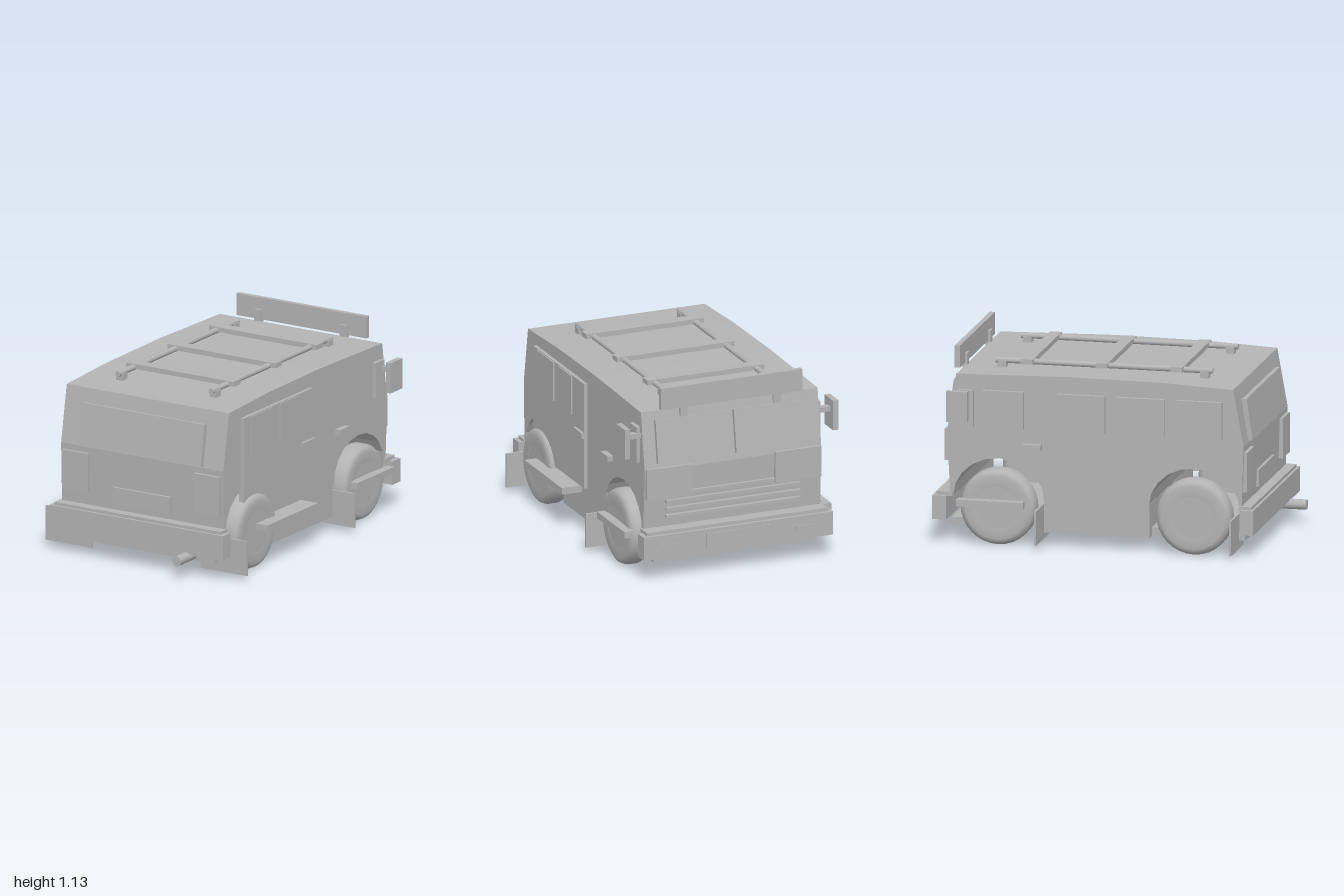
import * as THREE from 'three';

export function createModel() {
  const van = new THREE.Group();
  van.name = 'van';
  const grey = new THREE.MeshStandardMaterial({ color: 0xb4b4b4 });
  grey.name = 'plain grey';

  const add = (name, geometry) => {
    const mesh = new THREE.Mesh(geometry, grey);
    mesh.name = name;
    van.add(mesh);
    return mesh;
  };
  // box given by its limits on each axis
  const box = (name, x0, x1, y0, y1, z0, z1, tilt = 0) => {
    const mesh = add(name, new THREE.BoxGeometry(Math.abs(x1 - x0), y1 - y0, Math.abs(z1 - z0)));
    mesh.position.set((x0 + x1) / 2, (y0 + y1) / 2, (z0 + z1) / 2);
    mesh.rotation.x = tilt;
    return mesh;
  };
  const bothSides = (name, x0, x1, ...rest) => {
    for (const s of [1, -1]) box(name, s * x0, s * x1, ...rest);
  };

  // body: side profile (z, y) with wheel arches cut through the width
  const profile = new THREE.Shape();
  profile.moveTo(0.825, 0.28);
  profile.lineTo(0.835, 0.65);
  profile.lineTo(0.775, 0.985);
  profile.lineTo(0.35, 1.005);
  profile.lineTo(-0.2, 1.01);
  profile.lineTo(-0.86, 0.995);
  profile.lineTo(-0.915, 0.65);
  profile.lineTo(-0.895, 0.28);
  const arch = (cz) => {
    for (let i = 0; i <= 10; i++) {
      const a = Math.PI * (1 - i / 10);
      profile.lineTo(cz + 0.268 * Math.cos(a), 0.275 + 0.235 * Math.sin(a));
    }
  };
  arch(-0.61);
  arch(0.545);
  const bodyGeometry = new THREE.ExtrudeGeometry(profile, { depth: 1.106, bevelEnabled: false });
  bodyGeometry.translate(0, 0, -0.553);
  bodyGeometry.rotateY(-Math.PI / 2);
  add('body', bodyGeometry);

  // underbody
  box('floor', -0.49, 0.49, 0.085, 0.135, -0.9, 0.83);
  box('sill', -0.545, 0.545, 0.085, 0.28, -0.345, 0.28);

  // wheels with rounded shoulders and flat hubs
  const tyre = [[0.125, -0.065], [0.185, -0.07], [0.212, -0.055], [0.223, -0.03],
    [0.223, 0.03], [0.212, 0.055], [0.185, 0.07], [0.125, 0.065]]
    .map(([r, y]) => new THREE.Vector2(r, y));
  for (const s of [1, -1]) {
    for (const z of [0.545, -0.61]) {
      const tire = add('tire', new THREE.LatheGeometry(tyre, 32));
      const hub = add('hub', new THREE.CylinderGeometry(0.126, 0.126, 0.126, 32));
      for (const part of [tire, hub]) {
        part.rotation.z = Math.PI / 2;
        part.position.set(s * 0.532, 0.228, z);
      }
    }
  }

  // mud flaps and steps
  for (const z of [0.787, -0.363]) {
    bothSides('mudFlap', 0.37, 0.685, 0.035, 0.24, z - 0.006, z + 0.006);
  }
  box('doorStep', 0.545, 0.672, 0.235, 0.275, 0.01, 0.55);
  bothSides('wheelStep', 0.59, 0.648, 0.235, 0.275, -0.84, -0.445);

  // bumpers
  box('frontBumper', -0.592, 0.592, 0.14, 0.285, 0.82, 0.9);
  box('frontBumperTop', -0.565, 0.565, 0.28, 0.303, 0.81, 0.885);
  box('backBumper', -0.592, 0.592, 0.14, 0.28, -0.995, -0.91);
  box('backBumperTop', -0.565, 0.565, 0.275, 0.3, -0.975, -0.88);
  box('backPlate', -0.2, 0.2, 0.165, 0.255, -1, -0.993);
  bothSides('bumperLamp', 0.36, 0.48, 0.2, 0.225, -1, -0.993);

  // exhaust pipe
  const pipe = add('exhaust', new THREE.CylinderGeometry(0.03, 0.03, 0.2, 16));
  pipe.rotation.x = Math.PI / 2;
  pipe.position.set(0.34, 0.12, 0.9);

  // front face
  box('frontWindow', -0.42, 0.415, 0.66, 0.905, 0.81, 0.84, -0.14);
  bothSides('frontLamp', 0.36, 0.535, 0.38, 0.615, 0.8, 0.853);
  box('frontPlate', -0.2, 0.195, 0.34, 0.44, 0.8, 0.845);

  // back face: split window, lamps and grille bars
  bothSides('backWindow', 0.015, 0.475, 0.69, 0.945, -0.912, -0.882, 0.157);
  bothSides('backLamp', 0.26, 0.545, 0.48, 0.665, -0.932, -0.89);
  for (let i = 0; i < 4; i++) {
    const y = 0.355 + i * 0.045;
    box('grilleBar', -0.42, 0.42, y, y + 0.016, -0.925, -0.89);
  }

  // sliding door with windows
  box('slidingDoor', 0.54, 0.574, 0.29, 0.925, -0.088, 0.65);
  box('doorWindow', 0.56, 0.581, 0.685, 0.92, 0.345, 0.58);
  box('doorWindow', 0.56, 0.581, 0.685, 0.92, 0.085, 0.27);
  box('doorHandle', 0.56, 0.59, 0.593, 0.628, -0.088, 0.035);
  bothSides('sideHandle', 0.55, 0.588, 0.573, 0.605, -0.46, -0.355);

  // windows on the plain side
  for (const [z0, z1] of [[-0.7, -0.46], [-0.26, 0.02], [0.08, 0.37], [0.44, 0.71]]) {
    box('sideWindow', -0.575, -0.55, 0.69, 0.91, z0, z1);
  }

  // mirrors
  bothSides('mirrorBase', 0.55, 0.577, 0.69, 0.905, -0.85, -0.755);
  bothSides('mirrorArm', 0.55, 0.64, 0.84, 0.87, -0.86, -0.82);
  bothSides('mirror', 0.635, 0.668, 0.735, 0.915, -0.895, -0.77);

  // spoiler on brackets
  box('spoiler', -0.443, 0.441, 1.005, 1.135, -0.895, -0.865);
  bothSides('spoilerBracket', 0.27, 0.315, 0.935, 1.065, -0.88, -0.85);

  // roof rack
  for (const s of [1, -1]) {
    const rail = add('rackRail', new THREE.CylinderGeometry(0.017, 0.017, 1.28, 12));
    rail.rotation.x = Math.PI / 2;
    rail.position.set(s * 0.318, 1.036, -0.04);
    for (const z of [0.555, -0.64]) {
      box('rackFoot', s * 0.295, s * 0.342, 0.99, 1.035, z - 0.025, z + 0.025);
    }
  }
  for (const z of [0.395, -0.048, -0.488]) {
    box('rackBar', -0.368, 0.366, 1.027, 1.056, z - 0.035, z + 0.035);
  }

  return van;
}
